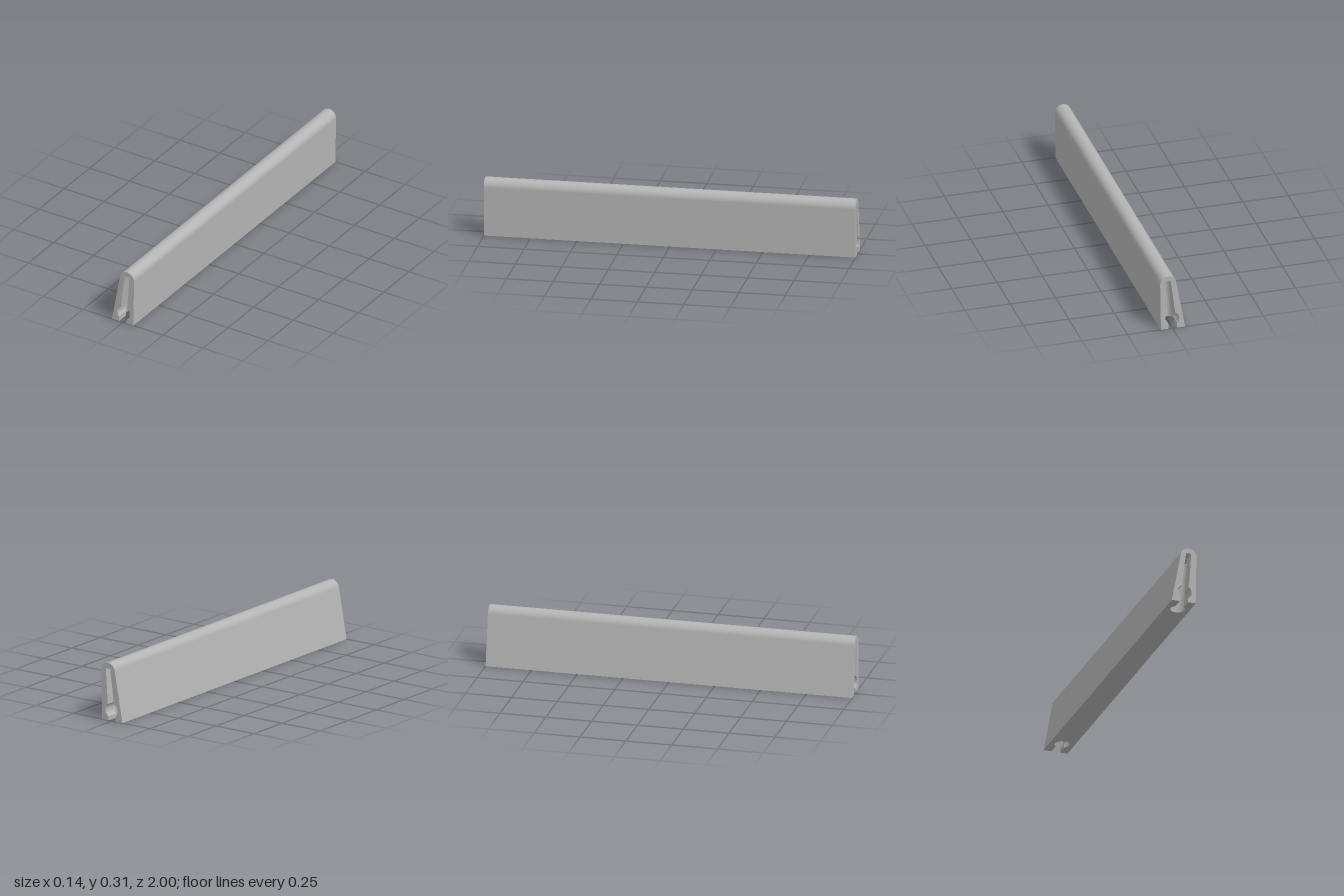
import * as THREE from 'three';
import { toCreasedNormals } from 'three/addons/utils/BufferGeometryUtils.js';

const HALF = 1;                                  // half length of the bar
const CROWN = { x: 0.025, y: 0.271, r: 0.044 };  // rounded top edge
const BORE = { x: 0.003, y: 0.057, r: 0.039 };   // lengthwise round bore in each end
const WELL = { z: 0.9, r: 0.04, lean: 0.088 };   // leaning hole drilled from below
const ROOF = 0.285;                              // top of the slot

// Left and right edges of the slot at height y, widened by the round bore
function slotEdges(y) {
  const t = (y - 0.09) / (ROOF - 0.09);
  let left = y < BORE.y ? -0.024 : -0.014 + 0.025 * t;
  let right = y < BORE.y ? 0.022 : 0.027 + 0.013 * t;
  const dy = y - BORE.y;
  if (Math.abs(dy) < BORE.r) {
    const h = Math.sqrt(BORE.r ** 2 - dy ** 2);
    left = Math.min(left, BORE.x - h);
    right = Math.max(right, BORE.x + h);
  }
  return [left, right];
}

// Keyhole outline (x, z) at height y: slot from the bar end into the round well
function keyhole(y, side) {
  const [left, right] = slotEdges(y);
  const c = WELL.lean * y;
  const angle = (x) => Math.acos(THREE.MathUtils.clamp((x - c) / WELL.r, -1, 1));
  const a0 = angle(left), a1 = angle(right) + Math.PI * 2;
  const pts = [new THREE.Vector2(left, side * HALF)];
  for (let i = 0; i <= 32; i++) {
    const a = a0 + (a1 - a0) * i / 32;
    pts.push(new THREE.Vector2(c + WELL.r * Math.cos(a), side * (WELL.z + WELL.r * Math.sin(a))));
  }
  pts.push(new THREE.Vector2(right, side * HALF));
  return pts;
}

// Skin through rows of equally many points
function loft(rows) {
  const n = rows[0].length, index = [];
  for (let j = 0; j < rows.length - 1; j++) {
    for (let i = 0; i < n - 1; i++) {
      const a = j * n + i, b = a + n;
      index.push(a, b, a + 1, a + 1, b, b + 1);
    }
  }
  const g = new THREE.BufferGeometry();
  g.setAttribute('position', new THREE.Float32BufferAttribute(rows.flat(2), 3));
  g.setIndex(index);
  g.computeVertexNormals();
  return g;
}

export function createModel() {
  const group = new THREE.Group();
  const grey = new THREE.MeshStandardMaterial({ color: 0xb4b4b4, side: THREE.DoubleSide });
  grey.name = 'plain grey';
  const add = (name, geometry) => {
    const mesh = new THREE.Mesh(geometry, grey);
    mesh.name = name;
    group.add(mesh);
  };

  // Outer profile: upright side, rounded crown, sloping side
  const crown = [];
  for (let i = 0; i <= 32; i++) {
    const a = -0.015 + (Math.PI - 0.165) * i / 32;
    crown.push(new THREE.Vector2(CROWN.x + CROWN.r * Math.cos(a), CROWN.y + CROWN.r * Math.sin(a)));
  }
  const footRight = new THREE.Vector2(0.065, 0), footLeft = new THREE.Vector2(-0.069, 0);
  const sweep = (pts) => loft([HALF, -HALF].map((z) => pts.map((p) => [p.x, p.y, z])));
  add('uprightSide', sweep([footRight, crown[0]]));
  add('roundedTop', sweep(crown));
  add('slopingSide', sweep([crown[32], footLeft]));

  // Heights at which the slot is sampled, dense across the bore
  const levels = [0];
  for (let i = 0; i <= 40; i++) levels.push(BORE.y - BORE.r * Math.cos(Math.PI * i / 40));
  levels.push(ROOF);

  // End face with the slot cut out
  const notch = [
    ...levels.map((y) => new THREE.Vector2(slotEdges(y)[0], y)),
    ...levels.slice().reverse().map((y) => new THREE.Vector2(slotEdges(y)[1], y)),
  ];
  const endShape = new THREE.Shape([footRight, ...crown, footLeft, ...notch]);

  for (const side of [1, -1]) {
    const end = side > 0 ? 'front' : 'back';
    add(end + 'EndFace', new THREE.ShapeGeometry(endShape).translate(0, 0, side * HALF));

    // Slot, bore and well walls
    const rows = levels.map((y) => keyhole(y, side).map((p) => [p.x, y, p.y]));
    add(end + 'SlotWalls', toCreasedNormals(loft(rows), 0.5));

    // Ceiling of the slot
    const roof = new THREE.ShapeGeometry(new THREE.Shape(keyhole(ROOF, side)));
    add(end + 'SlotCeiling', roof.rotateX(Math.PI / 2).translate(0, ROOF, 0));
  }

  // Underside with a keyhole at each end
  const base = new THREE.Shape([
    new THREE.Vector2(footLeft.x, HALF), ...keyhole(0, 1), new THREE.Vector2(footRight.x, HALF),
    new THREE.Vector2(footRight.x, -HALF), ...keyhole(0, -1).reverse(), new THREE.Vector2(footLeft.x, -HALF),
  ]);
  add('underside', new THREE.ShapeGeometry(base).rotateX(Math.PI / 2));

  return group;
}
